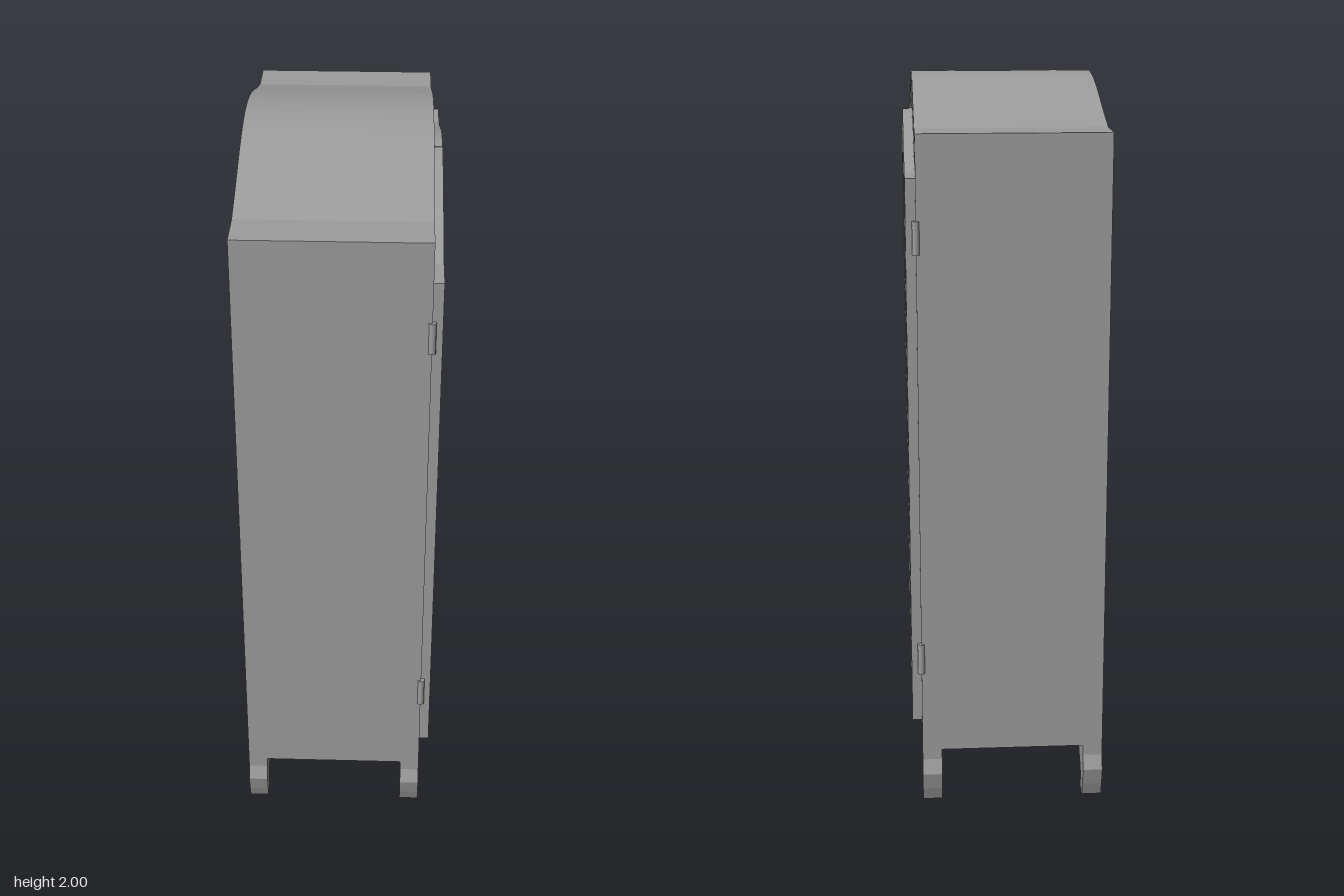
import * as THREE from 'three';

const grey = new THREE.MeshStandardMaterial({ color: 0x9c9c9c });
grey.name = 'grey paint';

// Bell-shaped arch shared by roof, cornice and doors: 0 at the shoulder, 1 at the middle
const bell = new THREE.SplineCurve([
  [0.465, 0], [0.36, 0.27], [0.27, 0.53], [0.18, 0.77], [0.09, 0.94], [0, 1],
  [-0.09, 0.94], [-0.18, 0.77], [-0.27, 0.53], [-0.36, 0.27], [-0.465, 0],
].map(([a, b]) => new THREE.Vector2(a, b)));

const archPoints = (base, rise, from = 0, to = 1) => {
  const pts = [];
  for (let i = 0; i <= 40; i++) {
    const p = bell.getPoint(from + (to - from) * i / 40);
    pts.push([p.x, base + rise * p.y]);
  }
  return pts;
};

const vectors = (pts) => pts.map(([a, b]) => new THREE.Vector2(a, b));
const mirror = (pts) => pts.map(([a, b]) => [-a, b]).reverse();

// Extrudes an outline of the front elevation from x0 to x1
function slab(name, outline, x0, x1, hole) {
  const shape = new THREE.Shape(vectors(outline));
  if (hole) shape.holes.push(new THREE.Path(vectors(hole)));
  const geo = new THREE.ExtrudeGeometry(shape, { depth: x1 - x0, bevelEnabled: false });
  geo.rotateY(Math.PI / 2);
  geo.translate(x0, 0, 0);
  const mesh = new THREE.Mesh(geo, grey);
  mesh.name = name;
  return mesh;
}

export function createModel() {
  const model = new THREE.Group();
  model.name = 'wardrobe';

  // Carcass with arched roof and scalloped lower edge
  const scallop = [[-0.583, 0.16], [-0.47, 0.16], [-0.4, 0.178], [-0.31, 0.178],
    [-0.23, 0.16], [-0.116, 0.186], [0, 0.16]];
  const outline = [...scallop, ...mirror(scallop).slice(1),
    [0.583, 1.89], ...archPoints(1.89, 0.11), [-0.583, 1.89]];
  model.add(slab('carcass', outline, -0.27, 0.21));

  // Front frame with the sunken cornice band
  const band = [[-0.56, 1.8], [-0.45, 1.8], ...archPoints(1.8, 0.105).reverse().slice(2, -2),
    [0.45, 1.8], [0.56, 1.8], [0.576, 1.862], ...archPoints(1.862, 0.113), [-0.576, 1.862]];
  model.add(slab('frontFrame', outline, 0.21, 0.24, band));

  // Curved legs
  const leg = [[0.47, 0.165], [0.47, 0.125], [0.487, 0.095], [0.518, 0.068], [0.535, 0.045],
    [0.53, 0.005], [0.54, 0], [0.572, 0], [0.586, 0.04], [0.598, 0.09], [0.583, 0.13], [0.583, 0.165]];
  for (const [where, x0, x1] of [['front', 0.185, 0.24], ['back', -0.27, -0.215]]) {
    model.add(slab(where + 'RightLeg', leg, x0, x1));
    model.add(slab(where + 'LeftLeg', mirror(leg), x0, x1));
  }

  // Doors, each a frame around a sunken panel
  const half = archPoints(1.775, 0.12, 0, 0.5);
  const door = [[0.003, 0.25], [0.574, 0.25], [0.574, 1.775], ...half.slice(0, -1), [0.003, 1.895]];
  const panelTop = [[0.46, 1.675], [0.38, 1.713], [0.3, 1.745], [0.21, 1.772], [0.115, 1.792]];
  const opening = [[0.115, 0.34], [0.46, 0.34], ...panelTop];
  for (const [side, flip] of [['right', (p) => p], ['left', mirror]]) {
    model.add(slab(side + 'Door', flip(door), 0.24, 0.267, flip(opening)));
    model.add(slab(side + 'DoorPanel', flip(opening), 0.235, 0.244));
  }

  // Hinge barrels
  const hingeGeo = new THREE.CylinderGeometry(0.01, 0.01, 0.088, 12);
  for (const z of [0.58, -0.58]) {
    for (const y of [0.44, 1.622]) {
      const hinge = new THREE.Mesh(hingeGeo, grey);
      hinge.name = 'hinge';
      hinge.position.set(0.24, y, z);
      model.add(hinge);
    }
  }
  return model;
}
